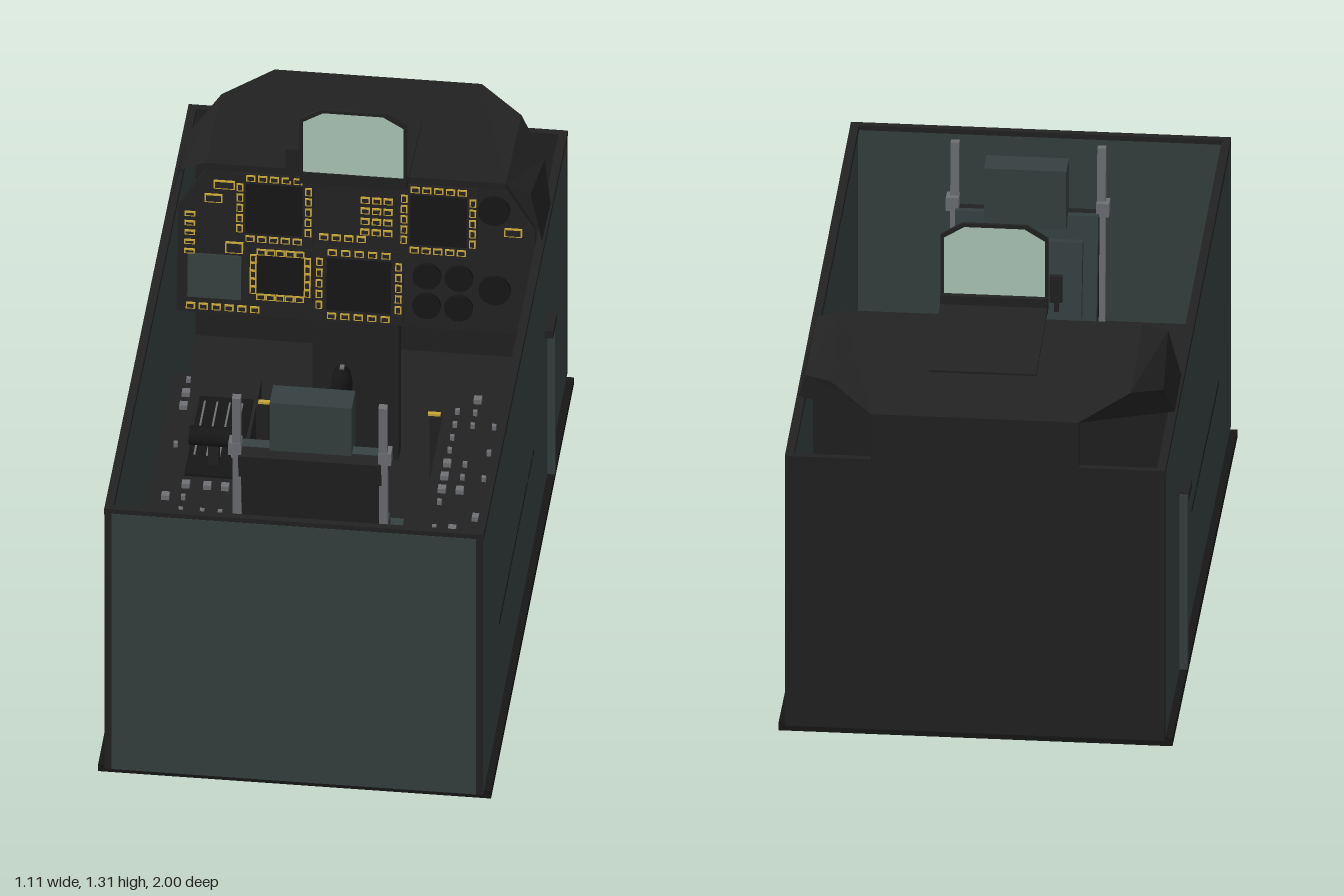
import * as THREE from 'three';

const mat = (name, color, side = THREE.FrontSide) => {
  const m = new THREE.MeshStandardMaterial({ color, side });
  m.name = name;
  return m;
};

export function createModel() {
  const green = mat('greyGreen', 0x364040);
  const dark = mat('charcoal', 0x222222, THREE.DoubleSide);
  const black = mat('black', 0x161616);
  const grey = mat('railGrey', 0x6e7074);
  const yellow = mat('yellow', 0xc8a83a);
  const glassMat = mat('paleGlass', 0xb0ccbd, THREE.DoubleSide);

  const root = new THREE.Group();
  const add = (name, geo, m, parent = root) => {
    const mesh = new THREE.Mesh(geo, m);
    mesh.name = name;
    parent.add(mesh);
    return mesh;
  };
  // Box from its extents
  const box = (name, m, x0, x1, y0, y1, z0, z1, parent = root) => {
    const b = add(name, new THREE.BoxGeometry(x1 - x0, y1 - y0, z1 - z0), m, parent);
    b.position.set((x0 + x1) / 2, (y0 + y1) / 2, (z0 + z1) / 2);
    return b;
  };
  const shape = pts => new THREE.Shape(pts.map(p => new THREE.Vector2(...p)));
  const slab = (pts, depth) => new THREE.ExtrudeGeometry(shape(pts), { depth, bevelEnabled: false });
  // Flat convex polygons as triangle fans
  const faces = (name, m, polys) => {
    const v = [];
    for (const p of polys)
      for (let i = 1; i < p.length - 1; i++) v.push(...p[0], ...p[i], ...p[i + 1]);
    const g = new THREE.BufferGeometry();
    g.setAttribute('position', new THREE.Float32BufferAttribute(v, 3));
    g.computeVertexNormals();
    return add(name, g, m);
  };

  // Tub: base plate, walls, floor and decks
  box('basePlate', black, -0.55, 0.55, 0, 0.025, -0.98, 0.98);
  box('floor', dark, -0.51, 0.51, 0.025, 0.08, -0.98, 0.98);
  box('backWall', green, -0.51, 0.51, 0.025, 0.905, 0.98, 1);
  box('backRim', dark, -0.51, 0.51, 0.905, 0.92, 0.979, 0.999);
  add('nosePanel', slab([[-0.53, 0.025], [0.53, 0.025], [0.53, 0.86], [0.29, 0.86], [0.29, 1],
    [-0.29, 1], [-0.29, 0.86], [-0.53, 0.86]], 0.02), dark).position.z = -1;
  box('rearDeck', dark, -0.51, 0.51, 0.32, 0.345, 0.64, 0.98);

  for (const s of [-1, 1]) {
    const side = (name, m, x0, x1, ...r) =>
      box(name, m, Math.min(s * x0, s * x1), Math.max(s * x0, s * x1), ...r);
    const profile = (name, pts, x, depth, m) => {
      const w = add(name, slab(pts, depth), m);
      w.rotation.y = -Math.PI / 2;
      w.position.x = s * x + depth / 2;
    };
    profile('sideWall', [[-0.98, 0.025], [0.998, 0.025], [0.998, 0.9], [-0.98, 0.845]], 0.52, 0.02, green);
    profile('wallRim', [[-0.999, 0.843], [0.999, 0.9], [0.999, 0.92], [-0.999, 0.86]], 0.519, 0.024, dark);
    side('wallEnd', dark, 0.51, 0.53, 0.025, 0.9, 0.998, 1);

    // Outer post, its arm and the slots in the wall
    side('outerPost', green, 0.53, 0.552, 0.025, 0.565, -0.545, -0.52);
    side('postArm', dark, 0.53, 0.555, 0.545, 0.57, -0.54, -0.45);
    for (const [a, b] of [[0.49, 0.625], [0.43, 0.48], [0.21, 0.425], [-0.04, 0.195], [-0.16, -0.06], [-0.19, -0.17]])
      side('wallSlot', black, 0.529, 0.532, 0.341, 0.35, a, b);

    // Side console with its small switches
    side('console', dark, 0.26, 0.51, 0.08, 0.345, -0.44, 0.64);
    side('consoleEdge', grey, 0.26, 0.49, 0.344, 0.347, 0.637, 0.641);
    side('footMark', yellow, 0.22, 0.255, 0.35, 0.357, -0.325, -0.313);
    side('footMarkPost', dark, 0.225, 0.26, 0.08, 0.35, -0.33, -0.308);
    let seed = s > 0 ? 7 : 19;
    const rand = () => (seed = (seed * 16807) % 2147483647) / 2147483647;
    for (let row = 0; row < 17; row++)
      for (const x of [0.3, 0.35, 0.41, 0.46]) {
        const z = -0.4 + row * 0.061, keep = rand();
        if (keep < 0.5 || (s < 0 && z > -0.35 && z < 0.06 && x < 0.45)) continue;
        const r = keep > 0.85 ? 0.011 : 0.006;
        side('consoleSwitch', grey, x - r, x + r, 0.345, 0.36, z - r, z + r);
      }

    // Ejection rail beside the seat
    const rail = box('seatRail', grey, s * 0.205 - 0.012, s * 0.205 + 0.012, 0.3, 1.06, 0.59, 0.612);
    rail.rotation.x = 0.05;
    box('railBracket', grey, s * 0.21 - 0.018, s * 0.21 + 0.018, 0.86, 0.9, 0.585, 0.625);
  }

  // Cowl over the instruments, with open corners at the nose
  const A = [0.29, 1, -1], B = [0.42, 1.02, -0.84], C = [0.42, 1.055, -0.47], D = [0.49, 1.03, -0.46];
  const E = [0.5, 0.97, -0.71], F = [0.525, 0.885, -0.44], G = [0.525, 0.87, -0.64];
  const flip = p => [-p[0], p[1], p[2]];
  const half = [[B, C, D, E], [D, F, G, E], [A, B, E], [A, E, G]];
  const top = [A, flip(A), flip(B), flip(C), C, B];
  faces('cowl', dark, [top, ...half.map(p => [...p].reverse()), ...half.map(p => p.map(flip))]);
  box('cowlLip', dark, -0.42, 0.42, 1.03, 1.053, -0.49, -0.47);

  // Head-up display
  const plate = box('displayPlatform', dark, -0.15, 0.15, 1.037, 1.049, -0.77, -0.405);
  plate.rotation.x = -0.0;
  plate.rotation.x = -0.105;
  plate.position.y = 1.044;
  const outline = (w, y0, y1, c) => [[-w, y0], [w, y0], [w, y1 - c * 0.62], [w - c, y1], [-(w - c), y1], [-w, y1 - c * 0.62]];
  const frame = shape(outline(0.15, 1.055, 1.312, 0.06));
  frame.holes.push(new THREE.Path(outline(0.141, 1.094, 1.302, 0.057).map(p => new THREE.Vector2(...p))));
  add('displayFrame', new THREE.ExtrudeGeometry(frame, { depth: 0.01, bevelEnabled: false }), dark).position.z = -0.412;
  add('displayGlass', slab(outline(0.142, 1.09, 1.303, 0.057), 0.004), glassMat).position.z = -0.409;
  box('displayBracket', dark, -0.15, 0.15, 1.05, 1.094, -0.425, -0.41);
  box('sideIndicator', dark, -0.19, -0.155, 1.085, 1.165, -0.425, -0.408);
  box('indicatorStem', dark, -0.18, -0.168, 1.055, 1.085, -0.42, -0.41);

  // Instrument panel, tilted back
  const panel = new THREE.Group();
  panel.name = 'instrumentPanel';
  panel.position.set(0, 0.79, -0.475);
  panel.rotation.x = -0.104;
  root.add(panel);
  add('panelBoard', slab([[-0.5, -0.24], [0.5, -0.24], [0.5, 0.1], [0.41, 0.24], [-0.41, 0.24], [-0.5, 0.1]], 0.015), dark, panel).position.z = -0.015;
  const button = (x, y, w = 0.026, h = 0.019) => {
    box('buttonOutline', yellow, x - w / 2, x + w / 2, y - h / 2, y + h / 2, 0.005, 0.011, panel);
    box('buttonFace', dark, x - w / 2 + 0.004, x + w / 2 - 0.004, y - h / 2 + 0.004, y + h / 2 - 0.004, 0.009, 0.013, panel);
  };
  const screen = (x, y, w, h) => {
    box('screenBezel', dark, x - w / 2, x + w / 2, y - h / 2, y + h / 2, 0, 0.007, panel);
    box('screenFace', black, x - w * 0.36, x + w * 0.36, y - h * 0.36, y + h * 0.36, 0.004, 0.009, panel);
    for (let i = -2; i <= 2; i++)
      for (const s of [-1, 1]) {
        button(x + i * w * 0.15, y + s * (h / 2 - 0.013));
        button(x + s * (w / 2 - 0.014), y + i * h * 0.15, 0.019, 0.024);
      }
  };
  screen(-0.23, 0.11, 0.22, 0.22);
  screen(0.23, 0.11, 0.22, 0.22);
  screen(0.01, -0.115, 0.25, 0.23);
  screen(-0.21, -0.1, 0.18, 0.17);
  for (let r = 0; r < 4; r++)
    for (let c = 0; c < 3; c++) button(0.025 + c * 0.032, 0.06 + r * 0.034);
  for (let c = 0; c < 4; c++) button(-0.09 + c * 0.035, 0.035);
  for (let c = 0; c < 6; c++) button(-0.46 + c * 0.036, -0.215);
  for (let r = 0; r < 5; r++) button(-0.465, -0.04 + r * 0.03, 0.03, 0.014);
  button(-0.37, 0.18, 0.06, 0.026);
  button(-0.4, 0.135, 0.05, 0.026);
  button(-0.34, -0.02, 0.05, 0.035);
  button(0.44, 0.09, 0.05, 0.026);
  box('greenInset', green, -0.47, -0.32, -0.19, -0.05, 0, 0.005, panel);
  for (const [x, y, r] of [[0.385, 0.155, 0.045], [0.2, -0.07, 0.04], [0.29, -0.07, 0.04], [0.2, -0.165, 0.04], [0.29, -0.165, 0.04], [0.39, -0.1, 0.045]]) {
    const g = add('roundGauge', new THREE.CylinderGeometry(r, r, 0.016, 24), black, panel);
    g.rotation.x = Math.PI / 2;
    g.position.set(x, y, 0.004);
  }
  box('pedestal', dark, -0.12, 0.12, 0.08, 0.56, -0.52, -0.46);

  // Seat
  box('seatPan', green, -0.2, 0.2, 0.08, 0.28, 0.08, 0.62);
  box('seatCushion', green, -0.165, 0.165, 0.28, 0.32, 0.11, 0.42);
  const back = new THREE.Group();
  back.name = 'seatBack';
  back.position.set(0, 0.28, 0.47);
  back.rotation.x = 0.17;
  root.add(back);
  box('backShell', dark, -0.2, 0.2, 0, 0.6, 0.02, 0.06, back);
  box('backFace', green, -0.2, 0.2, 0, 0.6, -0.01, 0.02, back);
  box('backCushion', green, -0.16, 0.16, 0.03, 0.53, -0.04, -0.01, back);
  box('headrest', green, -0.115, 0.115, 0.85, 1.03, 0.515, 0.6);
  box('pullHandle', yellow, -0.052, 0.052, 0.3, 0.32, 0.066, 0.084);

  // Control stick
  box('stickPlate', dark, -0.08, 0.08, 0.08, 0.12, -0.22, -0.06);
  const stick = add('controlStick', new THREE.LatheGeometry([[0, 0.12], [0.078, 0.12], [0.07, 0.16], [0.03, 0.24],
    [0.018, 0.3], [0.018, 0.46], [0.026, 0.5], [0.03, 0.57], [0.024, 0.61], [0, 0.62]].map(p => new THREE.Vector2(...p)), 20), black);
  stick.position.z = -0.14;
  box('stickButton', grey, -0.006, 0.006, 0.61, 0.625, -0.2, -0.185).position.z = -0.145;

  // Throttle quadrant
  box('throttleBase', black, -0.42, -0.27, 0.34, 0.352, -0.33, 0.04);
  for (let i = 0; i < 4; i++) box('throttleTrack', grey, -0.405 + i * 0.035, -0.4 + i * 0.035, 0.35, 0.358, -0.3, -0.05);
  box('throttleArm', dark, -0.36, -0.33, 0.35, 0.43, -0.04, -0.01);
  const grip = add('throttleGrip', new THREE.CylinderGeometry(0.028, 0.028, 0.135, 16), black);
  grip.rotation.z = Math.PI / 2;
  grip.position.set(-0.345, 0.44, -0.025);

  return root;
}
